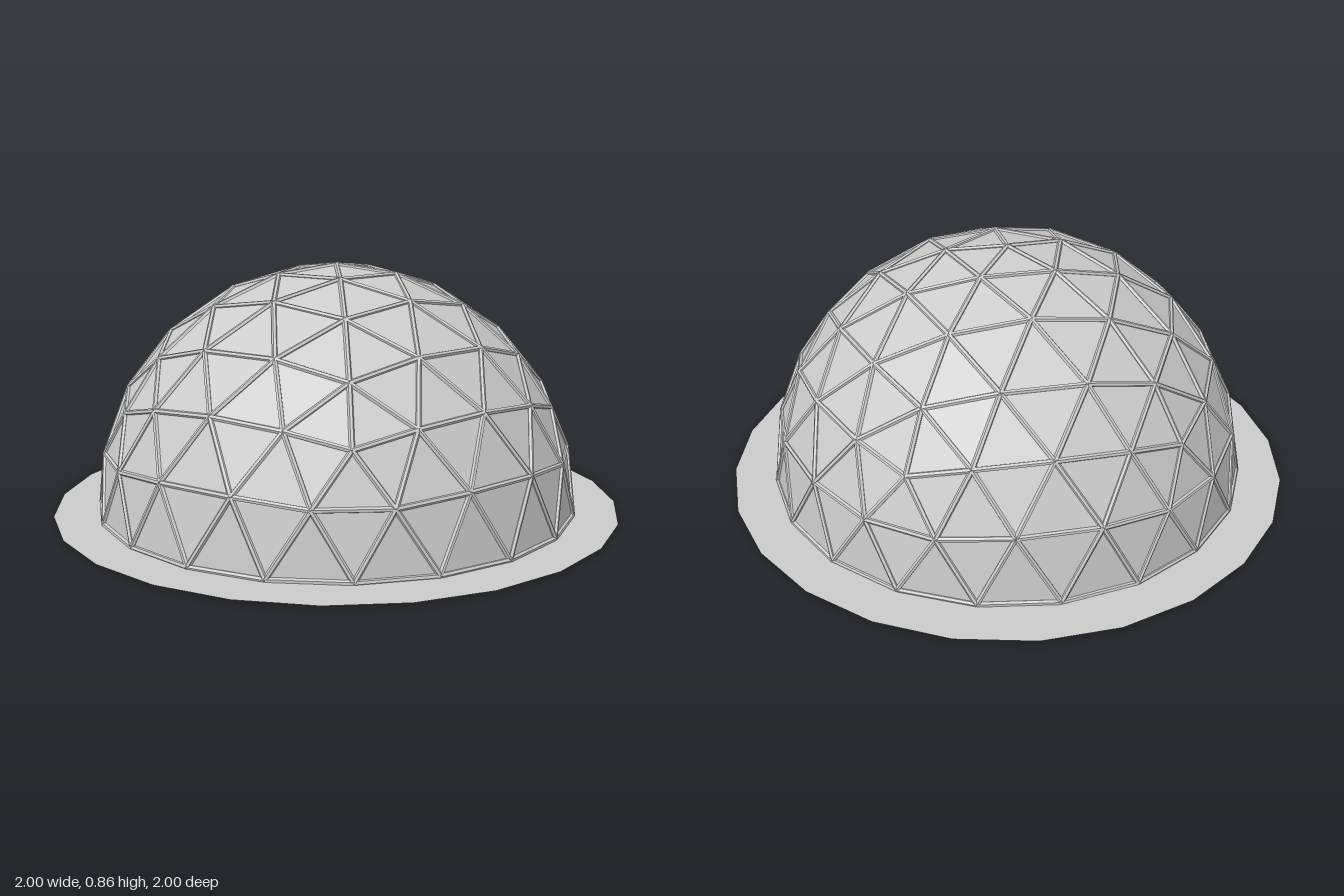
import * as THREE from 'three';

const RADIUS = 0.843;     // dome radius at the panel corners
const BASE_Y = 0.01;      // height of the base ring
const STRUT = 0.009;      // strut radius

export function createModel() {
  const dome = new THREE.Group();
  dome.name = 'geodesicDome';
  const grey = new THREE.MeshStandardMaterial({ color: 0xcccccc, flatShading: true, side: THREE.DoubleSide });

  // Ground disc, a thin 24-sided sheet
  const ground = new THREE.Mesh(new THREE.CircleGeometry(1, 24), grey);
  ground.name = 'groundDisc';
  ground.rotation.x = -Math.PI / 2;
  ground.position.y = 0.005;
  dome.add(ground);

  // Four-frequency sphere turned so one five-way corner is at the top
  const sphere = new THREE.IcosahedronGeometry(RADIUS, 3);
  sphere.rotateZ(-Math.atan(2 / (1 + Math.sqrt(5))));
  sphere.rotateY(Math.PI / 2);

  // Keep the upper half and collect every edge once
  const pos = sphere.attributes.position;
  const panelPoints = [];
  const edges = [];
  for (let i = 0; i < pos.count; i += 3) {
    const tri = [0, 1, 2].map((k) => new THREE.Vector3().fromBufferAttribute(pos, i + k));
    if (tri[0].y + tri[1].y + tri[2].y < 0.01) continue;
    tri.forEach((p) => { p.y += BASE_Y; });
    panelPoints.push(...tri);
    tri.forEach((a, k) => {
      const b = tri[(k + 1) % 3];
      const mid = a.clone().add(b).multiplyScalar(0.5);
      if (!edges.some((e) => e.mid.distanceTo(mid) < 0.001)) edges.push({ a, b, mid });
    });
  }

  // Flat triangular panels
  const panelGeometry = new THREE.BufferGeometry().setFromPoints(panelPoints);
  panelGeometry.computeVertexNormals();
  const panels = new THREE.Mesh(panelGeometry, grey);
  panels.name = 'panels';
  dome.add(panels);

  // Six-sided struts along the panel edges
  const struts = new THREE.Group();
  struts.name = 'struts';
  const up = new THREE.Vector3(0, 1, 0);
  const strutGeometry = new THREE.CylinderGeometry(STRUT, STRUT, 1, 6);
  for (const { a, b, mid } of edges) {
    const along = b.clone().sub(a);
    const strut = new THREE.Mesh(strutGeometry, grey);
    strut.name = 'strut';
    strut.position.copy(mid);
    strut.scale.y = along.length();
    strut.quaternion.setFromUnitVectors(up, along.normalize());
    struts.add(strut);
  }
  dome.add(struts);

  return dome;
}
